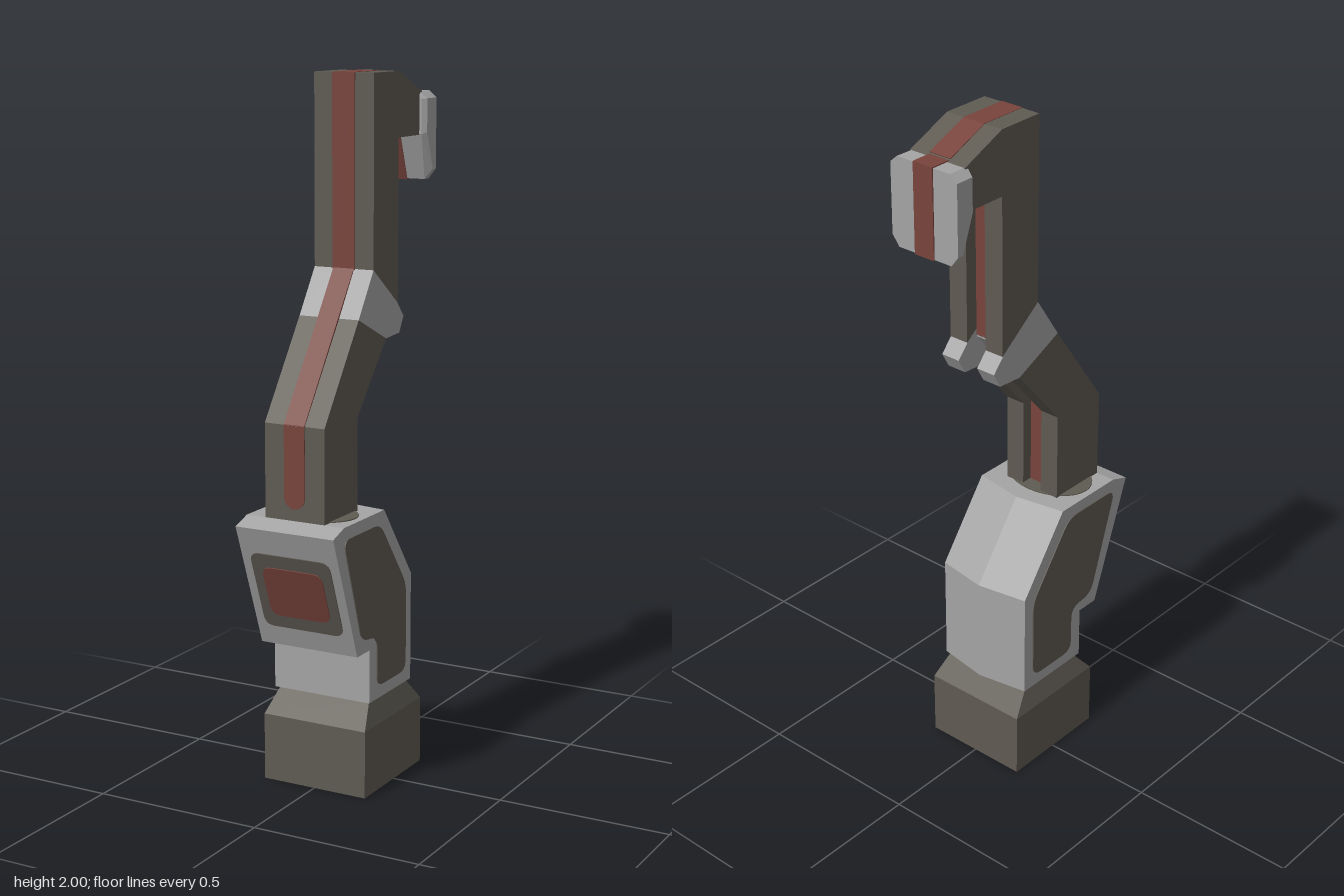
import * as THREE from 'three';
import { ConvexGeometry } from 'three/addons/geometries/ConvexGeometry.js';

const mat = (name, color) => {
  const m = new THREE.MeshStandardMaterial({ color });
  m.name = name;
  return m;
};

// Closed outline, with corners rounded by r where r > 0
function outline(pts, r = 0) {
  const s = new THREE.Shape();
  const v = pts.map(p => new THREE.Vector2(p[0], p[1]));
  if (!r) return s.setFromPoints(v);
  v.forEach((p, i) => {
    const a = v[(i + v.length - 1) % v.length], b = v[(i + 1) % v.length];
    const toward = q => p.clone().add(q.clone().sub(p).setLength(Math.min(r, p.distanceTo(q) * 0.45)));
    const p0 = toward(a), p1 = toward(b);
    if (i) s.lineTo(p0.x, p0.y); else s.moveTo(p0.x, p0.y);
    s.quadraticCurveTo(p.x, p.y, p1.x, p1.y);
  });
  s.closePath();
  return s;
}

// Side profile of [z, y] points, extruded from x0 to x1
function prism(profile, x0, x1, r = 0) {
  const g = new THREE.ExtrudeGeometry(outline(profile.map(([z, y]) => [-z, y]), r),
    { depth: x1 - x0, bevelEnabled: false, curveSegments: 5 });
  return g.rotateY(Math.PI / 2).translate(x0, 0, 0);
}

export function createModel() {
  const root = new THREE.Group();
  root.name = 'jointedColumn';
  const light = mat('light grey', 0xa4a4a4);
  const dark = mat('warm dark grey', 0x5f5b53);
  const red = mat('dull red', 0x78443c);

  const add = (name, geometry, material, parent = root) => {
    const m = new THREE.Mesh(geometry, material);
    m.name = name;
    parent.add(m);
    return m;
  };

  // Thin strip laid along a path of [z, y] points
  const ribbon = (name, path, width) => {
    const group = new THREE.Group();
    group.name = name;
    for (let i = 1; i < path.length; i++) {
      const [z0, y0] = path[i - 1], [z1, y1] = path[i];
      const dz = z1 - z0, dy = y1 - y0;
      const g = new THREE.BoxGeometry(width, 0.006, Math.hypot(dz, dy) + 0.004);
      g.rotateX(Math.atan2(-dy, dz)).translate(0, (y0 + y1) / 2, (z0 + z1) / 2);
      add(name + 'Segment', g, red, group);
    }
    root.add(group);
    return group;
  };

  // Base block and tapering neck
  add('base', new THREE.BoxGeometry(0.326, 0.195, 0.34).translate(0, 0.0975, 0.004), dark);
  const neck = new THREE.BoxGeometry(0.326, 0.07, 0.34).toNonIndexed();
  const np = neck.attributes.position;
  for (let i = 0; i < np.count; i++) {
    if (np.getY(i) > 0) np.setXYZ(i, np.getX(i) * 0.88, np.getY(i), np.getZ(i) * 0.64);
  }
  neck.computeVertexNormals();
  add('neck', neck.translate(0, 0.23, 0.004), dark);

  // Housing, in two halves that meet in a shallow ridge at the back
  const housing = [[0.335, 0.785], [0.275, 0.805], [0.045, 0.805], [-0.12, 0.583],
    [-0.12, 0.265], [0.13, 0.265], [0.13, 0.42], [0.2, 0.42]];
  const sidePanel = [[0.28, 0.77], [0.072, 0.77], [-0.085, 0.56], [-0.085, 0.302],
    [0.088, 0.302], [0.088, 0.45], [0.178, 0.46]];
  for (const s of [-1, 1]) {
    const g = prism(housing, s < 0 ? -0.153 : 0, s < 0 ? 0 : 0.153);
    const p = g.attributes.position;
    for (let i = 0; i < p.count; i++) {
      if (Math.abs(p.getX(i)) < 0.001 && p.getZ(i) < 0.06) p.setZ(i, p.getZ(i) - 0.025);
    }
    g.computeVertexNormals();
    add(s < 0 ? 'housingRight' : 'housingLeft', g, light);
    add('sidePanel', prism(sidePanel, s * 0.154 - 0.002, s * 0.154 + 0.002, 0.035), dark);
  }

  // Inset panel on the sloping front of the housing
  const plate = (name, w, h, lift, material) => {
    const shape = outline([[-w, -h], [w, -h], [w, h], [-w, h]], 0.03);
    const m = add(name, new THREE.ExtrudeGeometry(shape, { depth: lift, bevelEnabled: false, curveSegments: 5 }), material);
    m.position.set(0, 0.596, 0.265);
    m.rotation.x = Math.atan2(0.135, 0.365);
  };
  plate('frontPanel', 0.125, 0.122, 0.003, dark);
  plate('frontPanelCentre', 0.094, 0.08, 0.006, red);

  // Dark socket around the foot of the arm
  const socket = add('armSocket', new THREE.CylinderGeometry(1, 1, 0.004, 32), dark);
  socket.scale.set(0.133, 1, 0.1);
  socket.position.set(0, 0.806, 0.175);

  // Arm sections: two outer rails with a core set back to leave a rear groove
  const H = 0.033, W = 0.093;
  const section = (name, rail, core, material) => {
    add(name + 'RailLeft', prism(rail, H, W), material);
    add(name + 'RailRight', prism(rail, -W, -H), material);
    add(name + 'Core', prism(core, -H, H), material);
  };
  section('lowerArm',
    [[0.275, 0.79], [0.275, 1.07], [0.085, 1.338], [-0.075, 1.265], [0.09, 1.07], [0.09, 0.79]],
    [[0.275, 0.79], [0.275, 1.07], [0.085, 1.338], [-0.04, 1.28], [0.125, 1.085], [0.125, 0.79]], dark);
  section('elbow',
    [[0.085, 1.338], [0, 1.465], [-0.14, 1.36], [-0.18, 1.315], [-0.155, 1.27], [-0.075, 1.265]],
    [[0.085, 1.338], [0, 1.465], [-0.105, 1.386], [-0.105, 1.36], [-0.04, 1.28]], light);
  section('upperArm',
    [[0, 1.465], [0, 2], [-0.145, 2], [-0.285, 1.94], [-0.275, 1.818], [-0.145, 1.818], [-0.145, 1.356]],
    [[0, 1.465], [0, 2], [-0.145, 2], [-0.285, 1.94], [-0.275, 1.818], [-0.105, 1.818], [-0.105, 1.386]], dark);

  // Chamfered head plate facing backwards
  const corners = [
    [0.113, 1.92, -0.337], [0.113, 1.72, -0.337], [0.09, 1.94, -0.337], [0.09, 1.69, -0.337],
    [0.113, 1.92, -0.28], [0.113, 1.825, -0.28], [0.113, 1.72, -0.318],
    [0.1, 1.92, -0.27], [0.1, 1.82, -0.27], [0.088, 1.94, -0.272], [0.088, 1.69, -0.315]];
  add('head', new ConvexGeometry(corners.flatMap(([x, y, z]) =>
    [new THREE.Vector3(x, y, z), new THREE.Vector3(-x, y, z)])), light);

  // Red stripe up the front, over the top and around the head
  ribbon('frontStripe', [[0.275, 0.87], [0.275, 1.07], [0, 1.465]], 0.064);
  ribbon('upperStripe', [[0, 1.465], [0, 1.998], [-0.145, 1.998], [-0.272, 1.945]], 0.07);
  ribbon('headStripe', [[-0.27, 1.94], [-0.337, 1.94], [-0.337, 1.69], [-0.315, 1.69], [-0.27, 1.82]], 0.066);
  const tip = new THREE.CylinderGeometry(0.032, 0.032, 0.006, 20).rotateX(Math.PI / 2);
  add('stripeTip', tip.translate(0, 0.87, 0.275), red);

  // Red floor of the rear groove
  ribbon('grooveFloor', [[0.125, 0.8], [0.125, 1.085], [-0.04, 1.28], [-0.105, 1.37], [-0.105, 1.816]], 0.064);

  return root;
}
